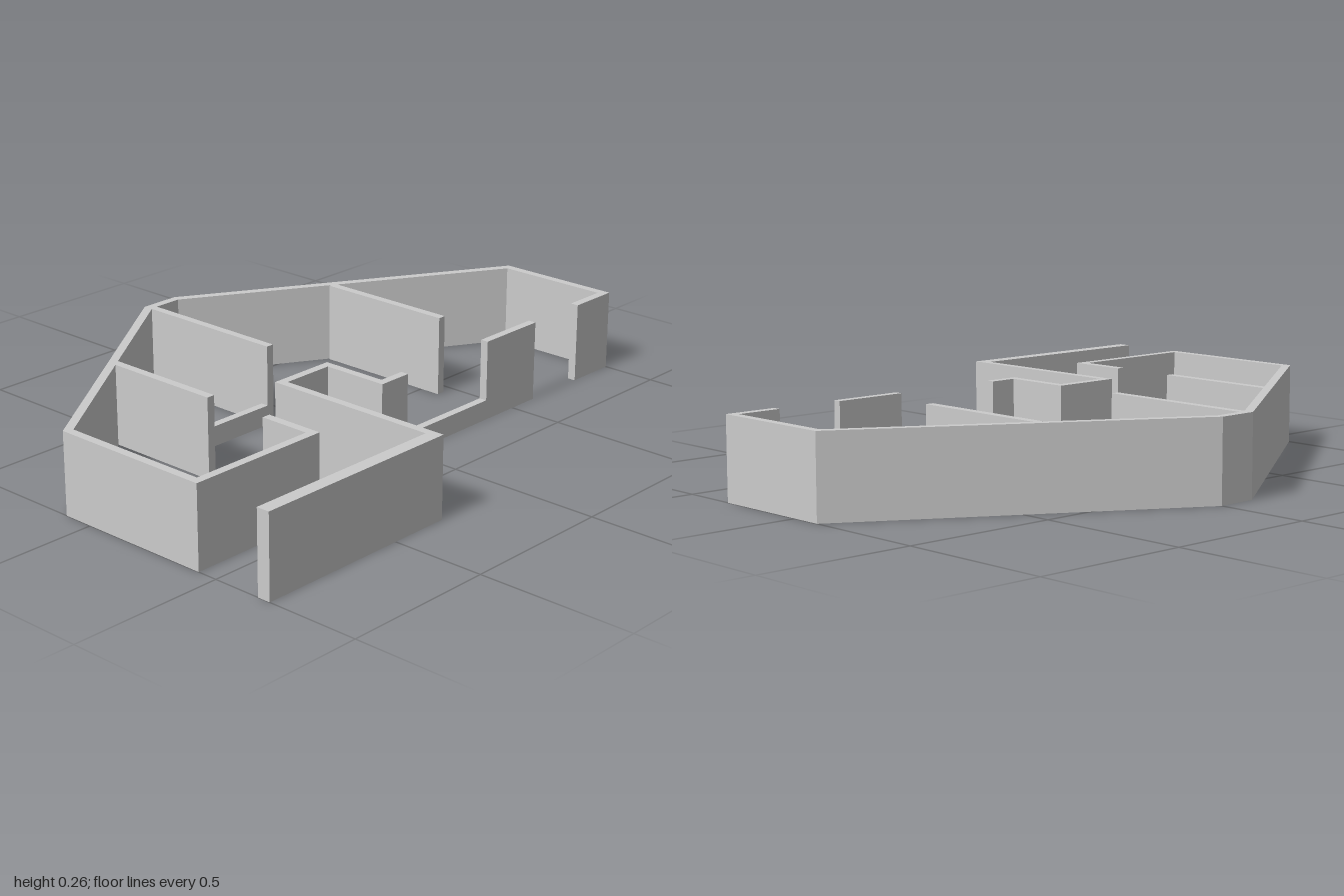
import * as THREE from 'three';

const HEIGHT = 0.26, SILL = 0.065, T = 0.027;
const material = new THREE.MeshStandardMaterial({ color: 0xcccccc, flatShading: true });

// Extrudes a floor-plan outline of [x, z] points upwards from the ground
function extrudePlan(name, outline, height = HEIGHT) {
  const shape = new THREE.Shape(outline.map(([x, z]) => new THREE.Vector2(x, z)));
  const geometry = new THREE.ExtrudeGeometry(shape, { depth: height, bevelEnabled: false });
  geometry.rotateX(Math.PI / 2).translate(0, height, 0);
  const mesh = new THREE.Mesh(geometry, material);
  mesh.name = name;
  return mesh;
}

// Straight wall filling a rectangle of the plan
const block = (name, x0, x1, z0, z1, height) =>
  extrudePlan(name, [[x0, z0], [x1, z0], [x1, z1], [x0, z1]], height);

// Thickens a path of [x, z] points towards its inner side, with mitred corners
function thicken(path, t) {
  const normals = path.slice(1).map(([x, z], i) => {
    const dx = x - path[i][0], dz = z - path[i][1], len = Math.hypot(dx, dz);
    return [dz / len, -dx / len];
  });
  const inner = path.map(([x, z], i) => {
    const a = normals[Math.max(i - 1, 0)];
    const b = normals[Math.min(i, normals.length - 1)];
    const k = t / (1 + a[0] * b[0] + a[1] * b[1]);
    return [x + (a[0] + b[0]) * k, z + (a[1] + b[1]) * k];
  });
  return [...path, ...inner.reverse()];
}

export function createModel() {
  const group = new THREE.Group();
  group.name = 'floorPlanWalls';

  // Angled outer shell, running from the back doorway round to the front room's doorway
  const shell = [
    [0.32, -0.828], [0.32, -1], [-0.1, -1], [-0.7, 0], [-0.7, 0.13],
    [-0.1, 1], [0.435, 1], [0.435, 0.523], [0.24, 0.523],
  ];
  group.add(extrudePlan('outerShell', thicken(shell, T)));

  // Partitions joining the shell
  group.add(block('backPartition', -0.405, 0.07, -0.457, -0.43));
  group.add(block('middlePartition', -0.68, -0.152, 0.102, 0.128));
  group.add(block('frontPartition', -0.395, 0.017, 0.523, 0.55));
  group.add(block('lowPartition', -0.178, -0.152, 0.128, 0.523, SILL));

  // Entrance corridor wall, stepping back to the window wall
  group.add(extrudePlan('entranceWall', [
    [0.7, 1], [0.7, 0.302], [0.102, 0.302], [0.102, 0.128], [0.32, 0.128], [0.32, 0.013],
    [0.294, 0.013], [0.294, 0.102], [0.075, 0.102], [0.075, 0.328], [0.657, 0.328], [0.657, 1],
  ]));

  // Window sill and the wall beyond it
  group.add(block('windowSill', 0.294, 0.32, -0.365, 0.013, SILL));
  group.add(block('windowWall', 0.294, 0.32, -0.605, -0.365));

  return group;
}
